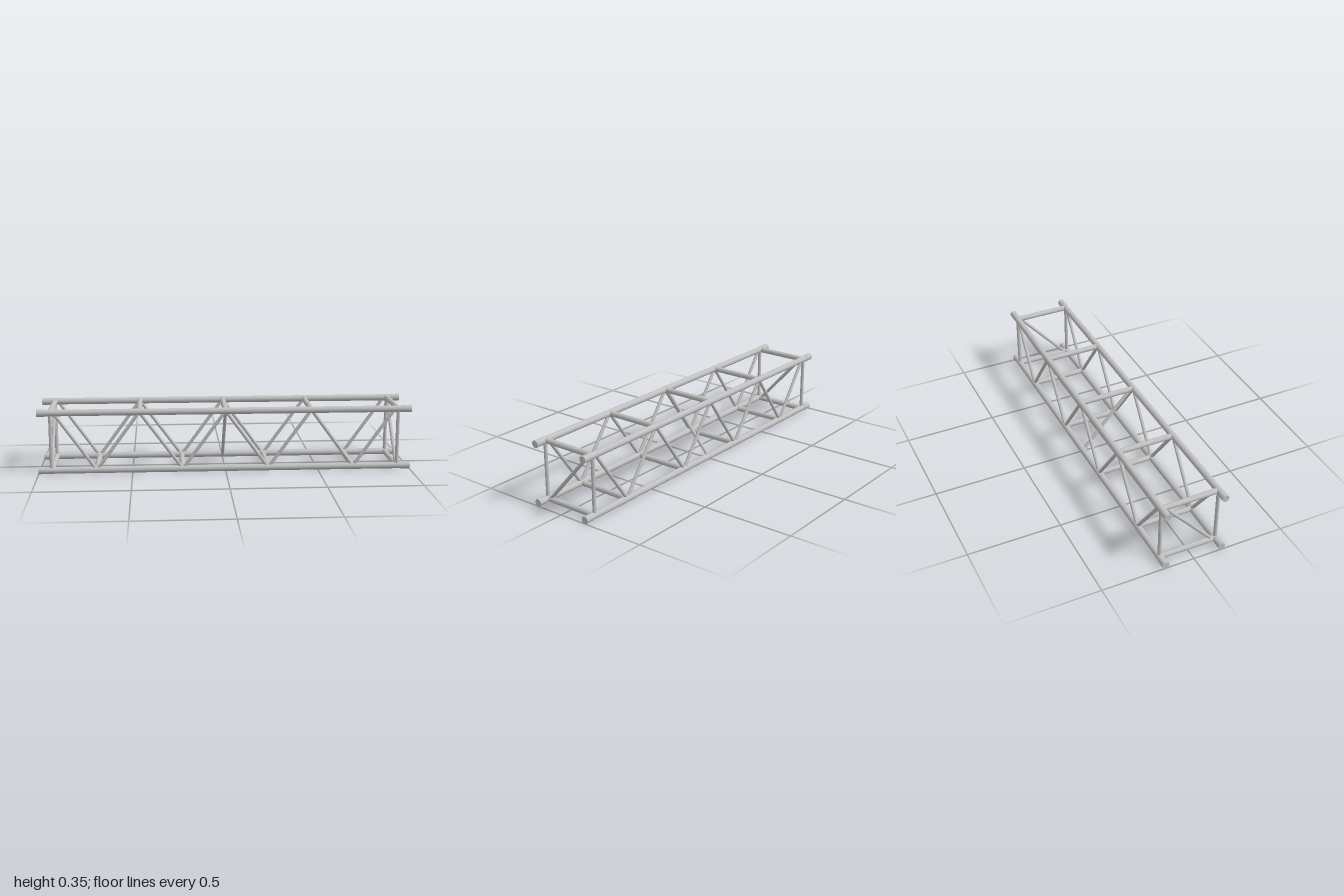
import * as THREE from 'three';

const LOW = 0.0195, HIGH = 0.333, SIDE = 0.1565, END = 0.93, PANEL = 0.23;

export function createModel() {
  const truss = new THREE.Group();
  truss.name = 'boxTruss';
  const aluminium = new THREE.MeshStandardMaterial({ color: 0xc0c0c0 });
  aluminium.name = 'aluminium grey';

  // Round tube between two points
  function tube(name, a, b, radius, sides = 20) {
    const from = new THREE.Vector3(...a), to = new THREE.Vector3(...b);
    const dir = to.clone().sub(from);
    const mesh = new THREE.Mesh(new THREE.CylinderGeometry(radius, radius, dir.length(), sides), aluminium);
    mesh.name = name;
    mesh.position.copy(from).add(to).multiplyScalar(0.5);
    mesh.quaternion.setFromUnitVectors(new THREE.Vector3(0, 1, 0), dir.normalize());
    truss.add(mesh);
  }

  // Four long chords with a slightly thicker collar at each end
  for (const y of [LOW, HIGH]) {
    for (const z of [-SIDE, SIDE]) {
      tube('chord', [-0.96, y, z], [0.96, y, z], 0.0175, 28);
      for (const s of [-1, 1]) tube('endCollar', [s * 0.95, y, z], [s, y, z], 0.019, 28);
    }
  }

  // Cross struts sit at the zigzag nodes, alternating top and bottom
  for (const x of [-END, -2 * PANEL, 0, 2 * PANEL, END]) {
    tube('topStrut', [x, HIGH, -SIDE], [x, HIGH, SIDE], 0.015);
  }
  for (const x of [-END, -3 * PANEL, -PANEL, PANEL, 3 * PANEL, END]) {
    tube('bottomStrut', [x, LOW, -SIDE], [x, LOW, SIDE], 0.015);
  }

  // Side faces: end posts and zigzag bracing
  const nodes = [-0.913, -3 * PANEL, -2 * PANEL, -PANEL, 0, PANEL, 2 * PANEL, 3 * PANEL, 0.913];
  for (const z of [-SIDE, SIDE]) {
    for (const x of [-END, END]) tube('endPost', [x, LOW, z], [x, HIGH, z], 0.0095);
    for (let i = 0; i < nodes.length - 1; i++) {
      const [y0, y1] = i % 2 ? [LOW, HIGH] : [HIGH, LOW];
      tube('sideBrace', [nodes[i], y0, z], [nodes[i + 1], y1, z], 0.009);
    }
  }

  // Diagonals across the section: both ends one way, the middle the other
  for (const [x, s] of [[-END, 1], [0, -1], [END, 1]]) {
    tube('crossBrace', [x, LOW, s * 0.139], [x, HIGH, -s * 0.139], 0.009);
  }
  return truss;
}
